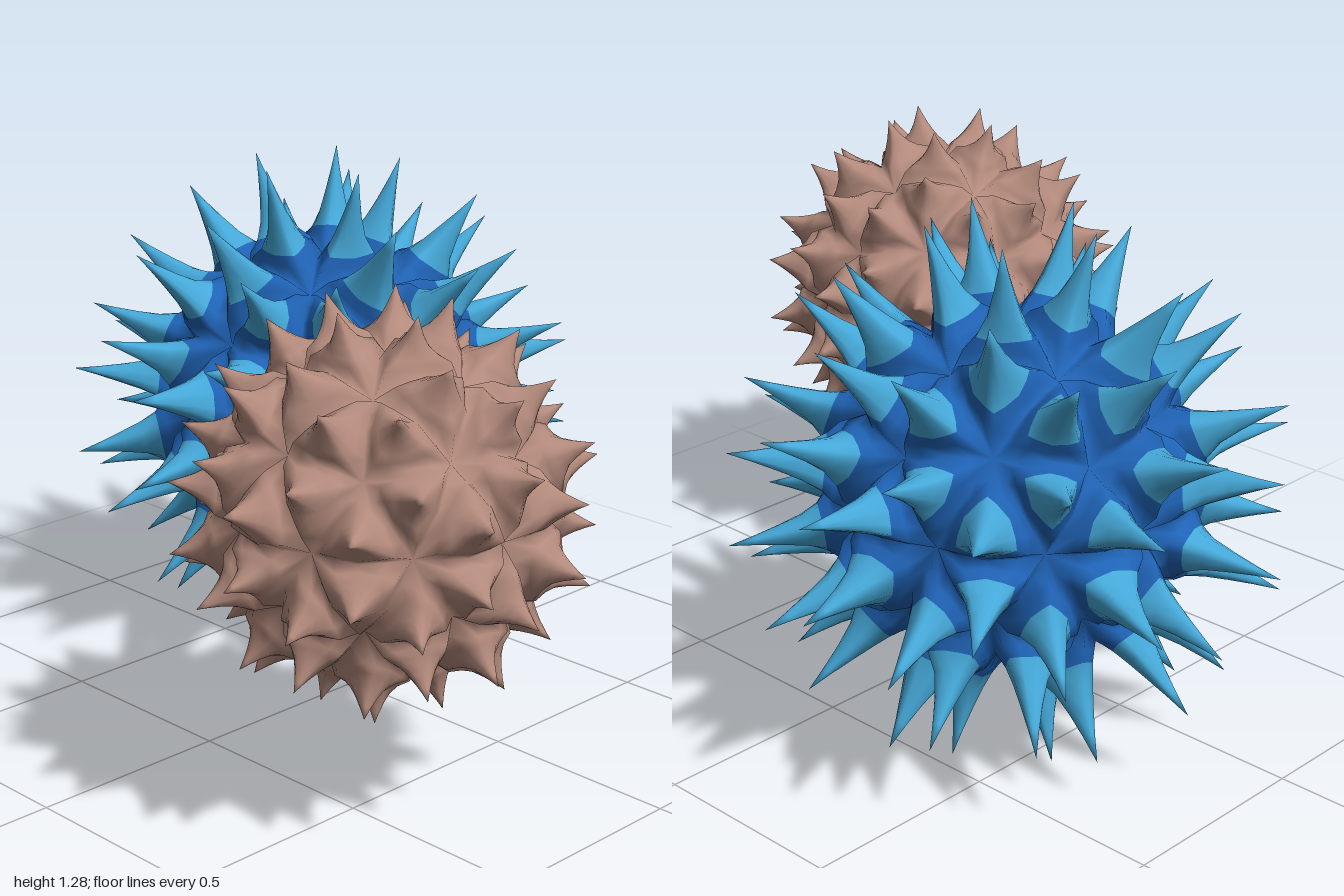
import * as THREE from 'three';
import { mergeVertices } from 'three/addons/utils/BufferGeometryUtils.js';

const SEG = 4; // samples along each cell edge

// Spiky ball: every cell of an 80-sided geodesic sphere rises into one spike.
// profile: [width as a share of the cell, radius] from cell border to tip.
function spikyBall({ corner, edge, profile, split }) {
  const cells = new THREE.IcosahedronGeometry(1, 1);
  cells.rotateX(-Math.atan((1 + Math.sqrt(5)) / 2)); // one vertex at the pole
  cells.rotateY(Math.PI / 2);
  const pos = cells.attributes.position;
  const base = [], spike = [];

  for (let f = 0; f < pos.count; f += 3) {
    const v = [0, 1, 2].map(i => new THREE.Vector3().fromBufferAttribute(pos, f + i));
    const axis = v[0].clone().add(v[1]).add(v[2]).normalize();

    // border of the cell, dipping towards its corners
    const border = [];
    for (let e = 0; e < 3; e++) {
      for (let s = 0; s < SEG; s++) {
        const t = s / SEG;
        const r = corner + (edge - corner) * Math.sin(Math.PI * t) ** 2;
        border.push(v[e].clone().lerp(v[(e + 1) % 3], t).normalize().multiplyScalar(r));
      }
    }
    const side = border.map(p => p.clone().addScaledVector(axis, -p.dot(axis)));
    const inner = Math.min(...side.map(p => p.length())) * 1.1;

    // rings narrow and become round on the way up
    const rings = [border];
    for (const [w, r] of profile) {
      const round = Math.min(1, (1 - w) * 1.8);
      rings.push(side.map(p => {
        const len = THREE.MathUtils.lerp(p.length(), inner, round) * w;
        return p.clone().setLength(len).addScaledVector(axis, r);
      }));
    }
    const n = border.length;
    for (let k = 0; k + 1 < rings.length; k++) {
      const out = k < split ? base : spike;
      const a = rings[k], b = rings[k + 1];
      const last = k + 2 === rings.length;
      for (let i = 0; i < n; i++) {
        const j = (i + 1) % n;
        out.push(a[i], a[j], b[i]);
        if (!last) out.push(a[j], b[j], b[i]);
      }
    }
  }

  let geo = new THREE.BufferGeometry().setFromPoints([...base, ...spike]);
  geo = mergeVertices(geo, 1e-5);
  geo.computeVertexNormals();
  geo.addGroup(0, base.length, 0);
  geo.addGroup(base.length, spike.length, 1);
  return geo;
}

export function createModel() {
  const material = (name, color) => {
    const m = new THREE.MeshStandardMaterial({ color });
    m.name = name;
    return m;
  };
  const deepBlue = material('deep blue', 0x1f62b4);
  const skyBlue = material('sky blue', 0x45a8d8);
  const clay = material('clay brown', 0xb38a7c);

  const group = new THREE.Group();
  const add = (name, geometry, materials, x, y, z) => {
    const mesh = new THREE.Mesh(geometry, materials);
    mesh.name = name;
    mesh.position.set(x, y, z);
    group.add(mesh);
  };

  // large ball with long slender spikes
  add('largeSpikyBall', spikyBall({
    corner: 0.385, edge: 0.415, split: 2,
    profile: [[0.86, 0.427], [0.7, 0.452], [0.52, 0.495], [0.34, 0.55], [0.16, 0.61], [0, 0.672]],
  }), [deepBlue, skyBlue], 0.255, 0.641, -0.37);

  // small ball with short broad spikes
  add('smallSpikyBall', spikyBall({
    corner: 0.345, edge: 0.375, split: 2,
    profile: [[0.84, 0.384], [0.66, 0.398], [0.48, 0.417], [0.3, 0.439], [0.14, 0.463], [0, 0.487]],
  }), [clay, clay], -0.443, 0.742, 0.543);

  return group;
}
